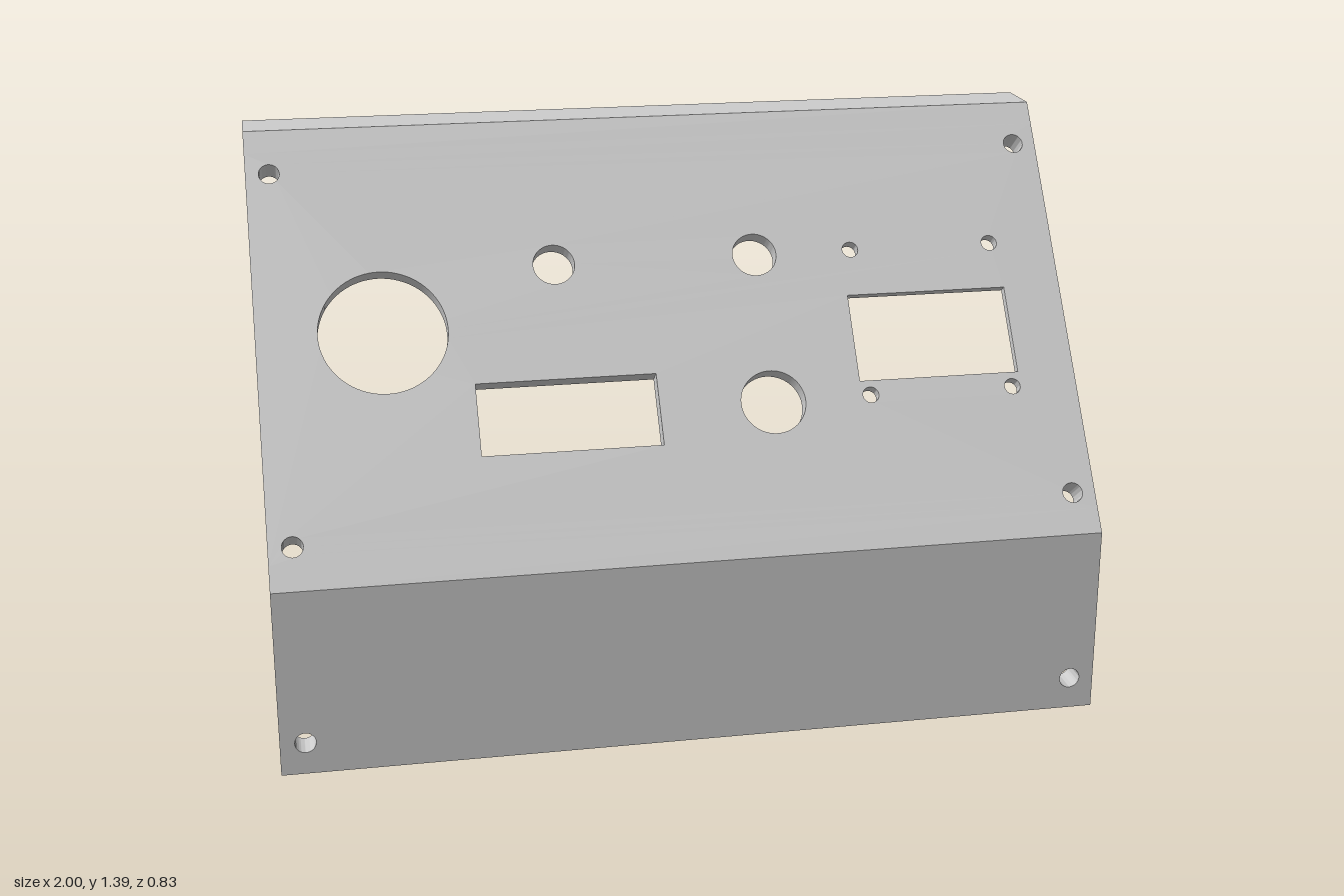
import * as THREE from 'three';
import { toCreasedNormals } from 'three/addons/utils/BufferGeometryUtils.js';

const material = new THREE.MeshStandardMaterial({ color: 0xcccccc });

// Sloped face frame: s runs up the slope from the bend, d goes inwards from the front.
const BEND = { y: 0.465, z: 0.414 };
const COS = 0.8, SIN = 0.6;
const S0 = 0.064, S1 = 1.0955;          // ends of the square-cut part of the slope
const PLATE = 0.044, FULL = 0.071;      // thickness of the plate, and with the side rails
const RAIL = 0.1;                       // rail width
const onSlope = (s, d) => [BEND.z - SIN * s - COS * d, BEND.y + COS * s - SIN * d];

const rect = (x0, x1, y0, y1, Type = THREE.Path) => new Type([
  new THREE.Vector2(x0, y0), new THREE.Vector2(x1, y0),
  new THREE.Vector2(x1, y1), new THREE.Vector2(x0, y1)]);
const circle = (x, y, r) => new THREE.Path().absarc(x, y, r, 0, Math.PI * 2);

function mesh(name, geometry) {
  const m = new THREE.Mesh(toCreasedNormals(geometry, 0.5), material);
  m.name = name;
  return m;
}

// Rectangular sheet with holes, between z0 and z1
function sheet(name, bounds, holes, z0, z1) {
  const shape = rect(...bounds, THREE.Shape);
  shape.holes = holes;
  const g = new THREE.ExtrudeGeometry(shape, { depth: z1 - z0, bevelEnabled: false, curveSegments: 40 });
  return mesh(name, g.translate(0, 0, z0));
}

// Side profile of [z, y] points swept along x
function sweep(name, points, x0, x1) {
  const shape = new THREE.Shape(points.map(([z, y]) => new THREE.Vector2(-z, y)));
  const g = new THREE.ExtrudeGeometry(shape, { depth: x1 - x0, bevelEnabled: false });
  return mesh(name, g.rotateY(Math.PI / 2).translate(x0, 0, 0));
}

export function createModel() {
  const model = new THREE.Group();
  model.name = 'controlPanel';

  // Upright lower wall with two screw holes
  model.add(sheet('lowerWall', [-1, 1, 0, 0.445],
    [circle(-0.94, 0.08, 0.025), circle(0.94, 0.08, 0.025)], 0.34, 0.414));

  // Solid bend between wall and slope, and the flange along the top
  model.add(sweep('lowerBend', [[0.414, 0.445], [0.414, 0.465], onSlope(S0, 0),
    onSlope(S0, PLATE), [0.34, 0.49], [0.34, 0.445]], -1, 1));
  model.add(sweep('topFlange', [onSlope(S1, 0), [-0.28, 1.39], [-0.414, 1.39],
    [-0.414, 1.315], onSlope(S1, PLATE)], -1, 1));

  // Everything on the slope
  const slope = new THREE.Group();
  slope.name = 'slopedFace';
  slope.position.set(0, BEND.y, BEND.z);
  slope.rotation.x = -Math.atan2(SIN, COS);
  model.add(slope);

  const mountX = [-0.943, 0.943], mountS = [0.106, 1.041];
  const cutouts = () => [
    circle(-0.698, 0.618, 0.155),            // large gauge
    circle(-0.273, 0.77, 0.051),             // buttons
    circle(0.228, 0.77, 0.055),
    circle(0.228, 0.385, 0.08),
    rect(-0.49, -0.052, 0.294, 0.475),       // meter
    ...mountX.flatMap(x => mountS.map(s => circle(x, s, 0.025))),
  ];
  const displayScrews = () => [0.473, 0.835].flatMap(x => [0.388, 0.771].map(s => circle(x, s, 0.02)));
  const slot = () => rect(0.33, 0.35, 0.745, 0.795);

  // Plate in three layers, stepping the display pocket out towards the back
  const face = [-1, 1, S0, S1];
  slope.add(sheet('facePlate', face,
    [...cutouts(), ...displayScrews(), rect(0.45, 0.855, 0.425, 0.65)], -0.022, 0));
  slope.add(sheet('displaySeat', face,
    [...cutouts(), ...displayScrews(), slot(), rect(0.44, 0.868, 0.415, 0.72),
      rect(0.56, 0.73, 0.36, 0.405)], -0.03, -0.022));
  slope.add(sheet('displayPocket', face,
    [...cutouts(), slot(), rect(0.437, 0.871, 0.357, 0.802)], -PLATE, -0.03));

  // Thick rails down both sides of the back, with mitred ends
  for (const [i, side] of ['right', 'left'].entries()) {
    const x0 = i ? 1 - RAIL : -1, x1 = x0 + RAIL;
    slope.add(sheet(side + 'Rail', [x0, x1, S0, S1],
      mountS.map(s => circle(mountX[i], s, 0.025)), -FULL, -PLATE));
    model.add(sweep(side + 'RailFoot', [[0.34, 0.445], [0.34, 0.49], onSlope(S0, FULL)], x0, x1));
    model.add(sweep(side + 'RailHead', [onSlope(S1, PLATE), [-0.313, 1.315], onSlope(S1, FULL)], x0, x1));
  }
  return model;
}
